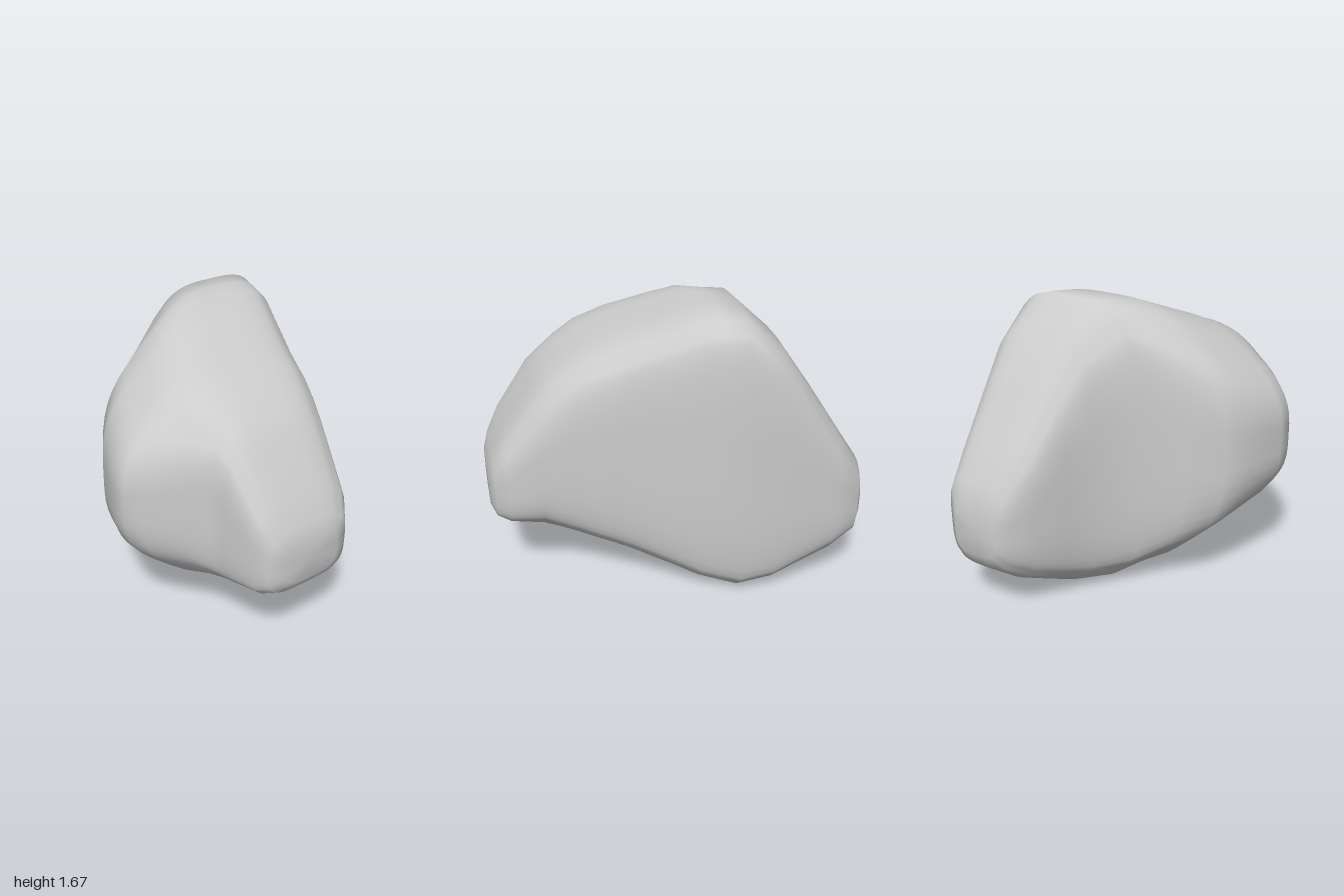
import * as THREE from 'three';

// Cross-sections from back to front:
// z, left edge, left end of top, right edge, bottom, top, left bevel height
const SECTIONS = [
  [-1.0, 0.32, 0.38, 0.60, 0.38, 0.65, 0.07],
  [-0.96, 0.25, 0.33, 0.66, 0.30, 0.80, 0.10],
  [-0.83, 0.17, 0.28, 0.69, 0.20, 1.00, 0.13],
  [-0.67, 0.10, 0.24, 0.69, 0.12, 1.25, 0.15],
  [-0.50, 0.02, 0.19, 0.695, 0.04, 1.50, 0.18],
  [-0.31, -0.14, 0.09, 0.68, 0.00, 1.675, 0.24],
  [-0.20, -0.35, 0.02, 0.65, 0.03, 1.67, 0.34],
  [-0.10, -0.54, -0.08, 0.625, 0.06, 1.66, 0.42],
  [0.03, -0.62, -0.16, 0.58, 0.12, 1.605, 0.42],
  [0.26, -0.70, -0.27, 0.50, 0.22, 1.51, 0.39],
  [0.36, -0.70, -0.28, 0.475, 0.26, 1.465, 0.36],
  [0.43, -0.64, -0.28, 0.455, 0.285, 1.44, 0.33],
  [0.55, -0.46, -0.25, 0.42, 0.33, 1.37, 0.24],
  [0.64, -0.36, -0.23, 0.395, 0.36, 1.295, 0.15],
  [0.72, -0.33, -0.22, 0.37, 0.385, 1.22, 0.11],
  [0.90, -0.28, -0.19, 0.33, 0.42, 0.96, 0.08],
  [0.97, -0.23, -0.15, 0.28, 0.455, 0.83, 0.07],
  [1.0, -0.15, -0.09, 0.20, 0.51, 0.75, 0.05],
];
const CORNER_STEPS = 7;

// Eight-cornered section with every corner rounded by a quadratic curve
function ring([z, xL, xs, xR, yB, yT, d]) {
  const w = Math.min(0.15, (xR - xL) * 0.2);
  const h = Math.min(0.15, (yT - yB) * 0.18);
  const corners = [
    [xL, yB + d], [xL, yT - d], [xs, yT], [xR - w, yT],
    [xR, yT - h], [xR, yB + h], [xR - w, yB], [xs, yB],
  ].map(([x, y]) => new THREE.Vector3(x, y, z));
  return corners.flatMap((p, i) => {
    const before = p.clone().lerp(corners[(i + 7) % 8], 0.36);
    const after = p.clone().lerp(corners[(i + 1) % 8], 0.36);
    return new THREE.QuadraticBezierCurve3(before, p, after).getPoints(CORNER_STEPS - 1);
  });
}

// Skin the rings and close both ends
function loft(rings) {
  const n = rings[0].length;
  const points = rings.flat();
  const index = [];
  for (let i = 0; i < rings.length - 1; i++) {
    for (let j = 0; j < n; j++) {
      const k = (j + 1) % n;
      const a = i * n + j, b = i * n + k, c = a + n, e = b + n;
      index.push(a, c, b, b, c, e);
    }
  }
  const centre = (r) => r.reduce((s, p) => s.add(p), new THREE.Vector3()).divideScalar(n);
  const back = points.length, front = back + 1, last = (rings.length - 1) * n;
  points.push(centre(rings[0]), centre(rings[rings.length - 1]));
  for (let j = 0; j < n; j++) {
    const k = (j + 1) % n;
    index.push(back, j, k, front, last + k, last + j);
  }
  const geometry = new THREE.BufferGeometry().setFromPoints(points);
  geometry.setIndex(index);
  geometry.computeVertexNormals();
  return geometry;
}

export function createModel() {
  const group = new THREE.Group();
  group.name = 'rock';
  const boulder = new THREE.Mesh(
    loft(SECTIONS.map(ring)),
    new THREE.MeshStandardMaterial({ color: 0xcccccc }),
  );
  boulder.name = 'boulder';
  group.add(boulder);
  return group;
}
